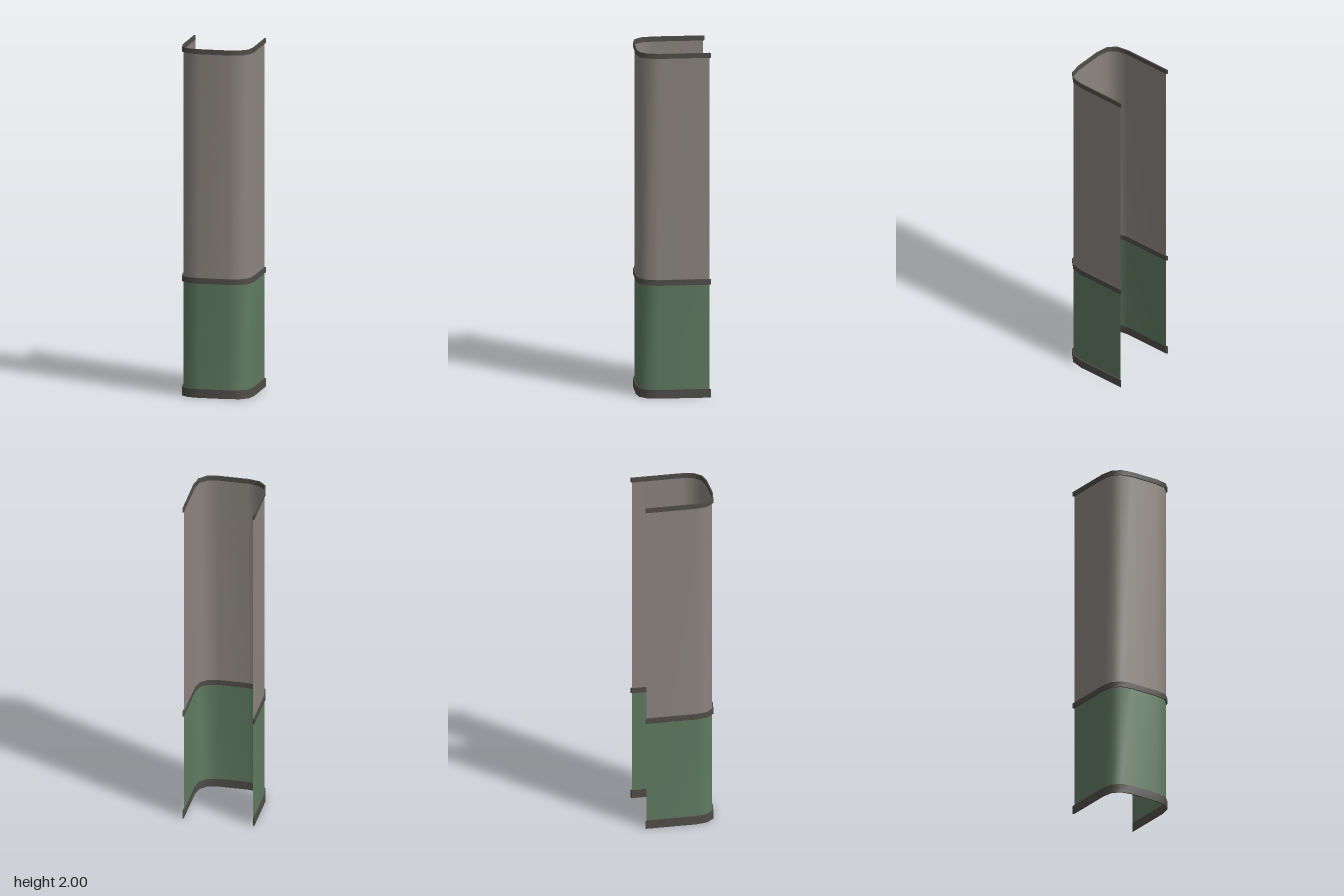
import * as THREE from 'three';
import { mergeGeometries } from 'three/addons/utils/BufferGeometryUtils.js';

const INNER = 0.2, OUTER = 0.207, CORNER = 0.085;

const flat = (name, color) => {
  const m = new THREE.MeshStandardMaterial({ color, side: THREE.DoubleSide });
  m.name = name;
  return m;
};

// U-shaped outline at half-width s: left back edge, round the front, to the right back edge
function outline(s, y) {
  const corner = new THREE.QuadraticBezierCurve(
    new THREE.Vector2(s, CORNER), new THREE.Vector2(s, s), new THREE.Vector2(CORNER, s));
  const half = [new THREE.Vector2(s, -s), ...corner.getPoints(3)];
  const mirrored = half.map(p => new THREE.Vector2(-p.x, p.y)).reverse();
  return [...half, ...mirrored].map(p => new THREE.Vector3(p.x, y, p.y));
}

// Smooth surface between two rows of points
function strip(rowA, rowB) {
  const n = rowA.length, index = [];
  for (let i = 0; i < n - 1; i++) index.push(i, n + i, i + 1, i + 1, n + i, n + i + 1);
  const g = new THREE.BufferGeometry().setFromPoints([...rowA, ...rowB]);
  g.setIndex(index);
  g.computeVertexNormals();
  return g;
}

// Thin solid band with sharp edges and mitred back ends
function bandGeometry(y0, y1) {
  const rows = [outline(OUTER, y0), outline(OUTER, y1), outline(INNER, y1), outline(INNER, y0)];
  const sides = rows.map((row, i) => strip(row, rows[(i + 1) % 4]));
  const last = rows[0].length - 1;
  const [a, b, c, d] = rows;
  const ends = [
    strip([d[0], a[0]], [c[0], b[0]]),
    strip([a[last], d[last]], [b[last], c[last]]),
  ];
  return mergeGeometries([...sides, ...ends]);
}

export function createModel() {
  const group = new THREE.Group();
  group.name = 'wallColumn';
  const plaster = flat('warmGreyPlaster', 0x8b8580);
  const green = flat('greenPaint', 0x607b61);
  const trim = flat('darkTrim', 0x514e49);

  const add = (name, geometry, material) => {
    const mesh = new THREE.Mesh(geometry, material);
    mesh.name = name;
    group.add(mesh);
  };

  // Wall sheets between the bands
  add('lowerWall', strip(outline(INNER, 0.05), outline(INNER, 0.655)), green);
  add('upperWall', strip(outline(INNER, 0.687), outline(INNER, 1.972)), plaster);

  // Skirting, dado rail and top moulding
  add('skirting', bandGeometry(0, 0.05), trim);
  add('dadoRail', bandGeometry(0.655, 0.687), trim);
  add('topMoulding', bandGeometry(1.972, 2), trim);
  return group;
}
